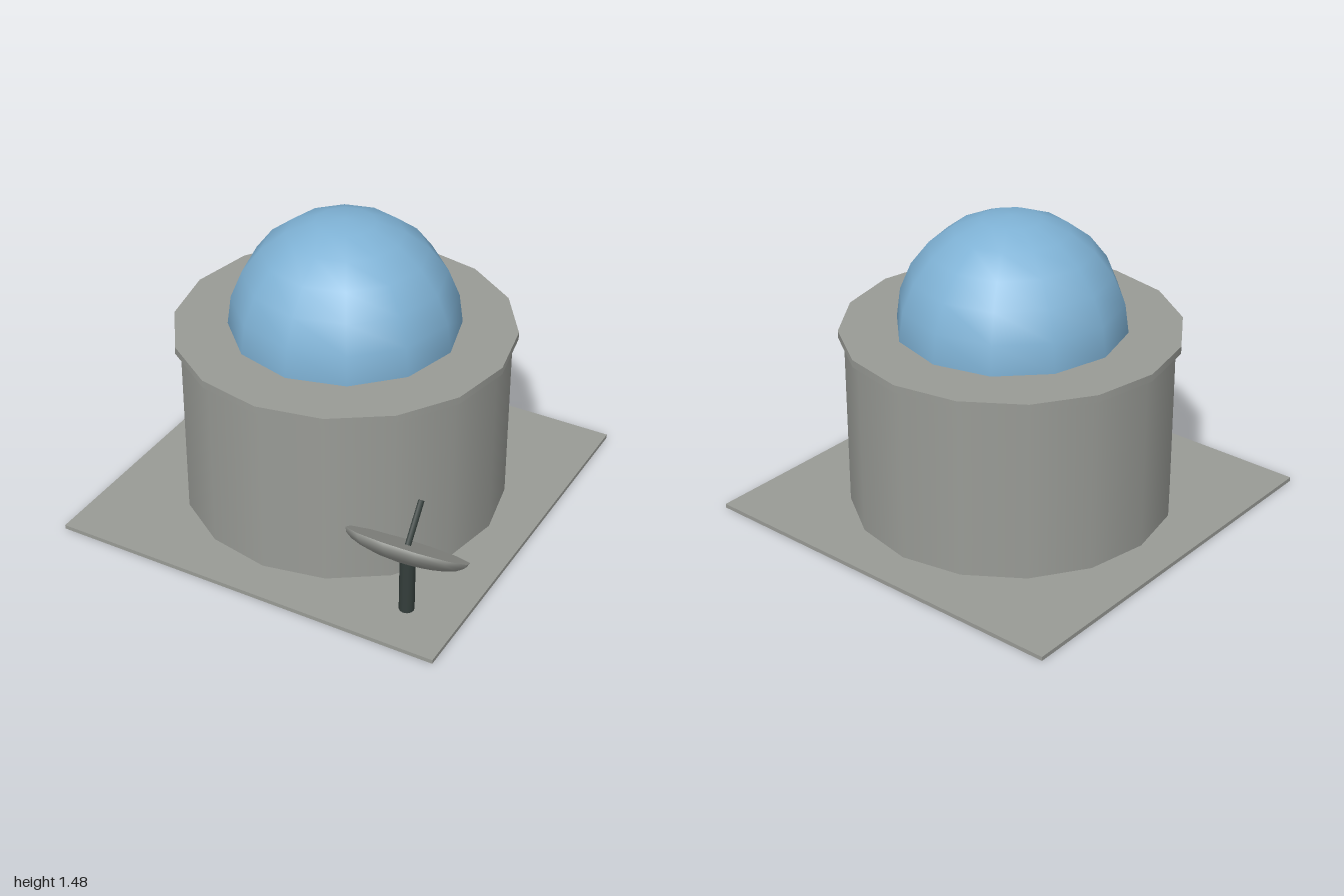
import * as THREE from 'three';

export function createModel() {
  const model = new THREE.Group();
  model.name = 'domedBuilding';

  const material = (name, color) => {
    const m = new THREE.MeshStandardMaterial({ color });
    m.name = name;
    return m;
  };
  const grey = material('concreteGrey', 0x999b96);
  const blue = material('domeBlue', 0x7fb2d5);
  const dark = material('darkMetal', 0x343e3b);

  const add = (parent, name, geometry, mat, x, y, z) => {
    const mesh = new THREE.Mesh(geometry, mat);
    mesh.name = name;
    mesh.position.set(x, y, z);
    parent.add(mesh);
    return mesh;
  };
  // Upright cylinder standing on the given height
  const column = (parent, name, r, bottom, top, sides, mat, x, z) =>
    add(parent, name, new THREE.CylinderGeometry(r, r, top - bottom, sides), mat, x, (bottom + top) / 2, z);
  // Upper half of a sphere, open underneath
  const hemisphere = (r, sides, rings) =>
    new THREE.SphereGeometry(r, sides, rings, 0, Math.PI * 2, 0, Math.PI / 2);

  // Ground slab, drum, rim and dome share one centre
  const cx = -0.015;
  add(model, 'groundSlab', new THREE.BoxGeometry(1.97, 0.02, 1.97), grey, cx, 0.01, 0);
  column(model, 'drumWall', 0.787, 0.02, 0.89, 16, grey, cx, 0);
  column(model, 'roofRim', 0.814, 0.89, 0.926, 16, grey, cx, 0);
  add(model, 'dome', hemisphere(0.552, 12, 6), blue, cx, 0.926, 0);

  // Dish on a mast, tilted up and towards the back
  column(model, 'dishMast', 0.036, 0.02, 0.335, 12, dark, 0.71, 0.73);
  const dish = new THREE.Group();
  dish.name = 'dish';
  dish.position.set(0.71, 0.38, 0.73);
  dish.rotation.x = -0.632;
  model.add(dish);

  const bowl = hemisphere(0.289, 12, 6);
  bowl.scale(1, 0.28, 1);
  bowl.rotateX(Math.PI);
  add(dish, 'dishBowl', bowl, grey, 0, 0, 0);
  const face = new THREE.CircleGeometry(0.289, 12);
  face.rotateX(-Math.PI / 2);
  add(dish, 'dishFace', face, grey, 0, 0, 0);
  column(dish, 'dishReceiver', 0.015, -0.01, 0.205, 8, dark, 0, 0);

  return model;
}
